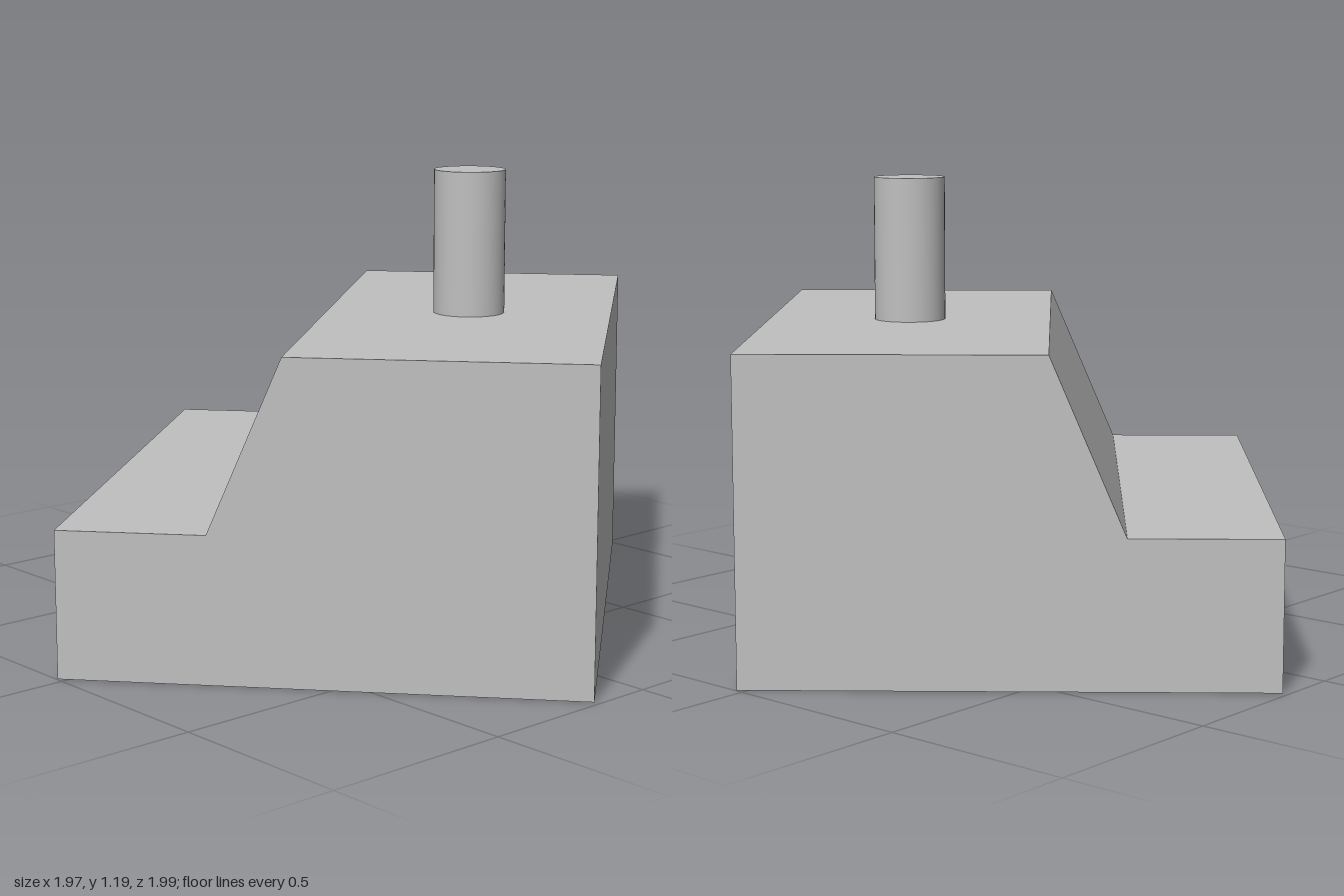
import * as THREE from 'three';

export function createModel() {
  const group = new THREE.Group();
  group.name = 'steppedBlock';
  const grey = new THREE.MeshStandardMaterial({ color: 0xc0c0c0 });
  grey.name = 'light grey';

  const width = 1.311, depth = 1.503;
  const stepHeight = 0.376, topHeight = 0.815, pinTop = 1.193;
  const left = -width / 2, right = width / 2;
  const slopeStart = left + width * 2 / 7;
  const slopeEnd = left + width * 3 / 7;

  // Block: side profile with a low step, a slope and a high deck
  const profile = new THREE.Shape([
    [left, 0], [right, 0], [right, topHeight],
    [slopeEnd, topHeight], [slopeStart, stepHeight], [left, stepHeight],
  ].map(([x, y]) => new THREE.Vector2(x, y)));
  const blockGeometry = new THREE.ExtrudeGeometry(profile, { depth, bevelEnabled: false });
  blockGeometry.translate(0, 0, -depth / 2);
  const block = new THREE.Mesh(blockGeometry, grey);
  block.name = 'block';

  // Pin: round post in the middle of the high deck
  const pinHeight = pinTop - topHeight;
  const pin = new THREE.Mesh(new THREE.CylinderGeometry(0.094, 0.094, pinHeight, 48), grey);
  pin.name = 'pin';
  pin.position.set((slopeEnd + right) / 2, topHeight + pinHeight / 2, 0);

  // The whole piece stands turned about the vertical axis
  const body = new THREE.Group();
  body.name = 'body';
  body.rotation.y = THREE.MathUtils.degToRad(39.85);
  body.add(block, pin);
  group.add(body);
  return group;
}
